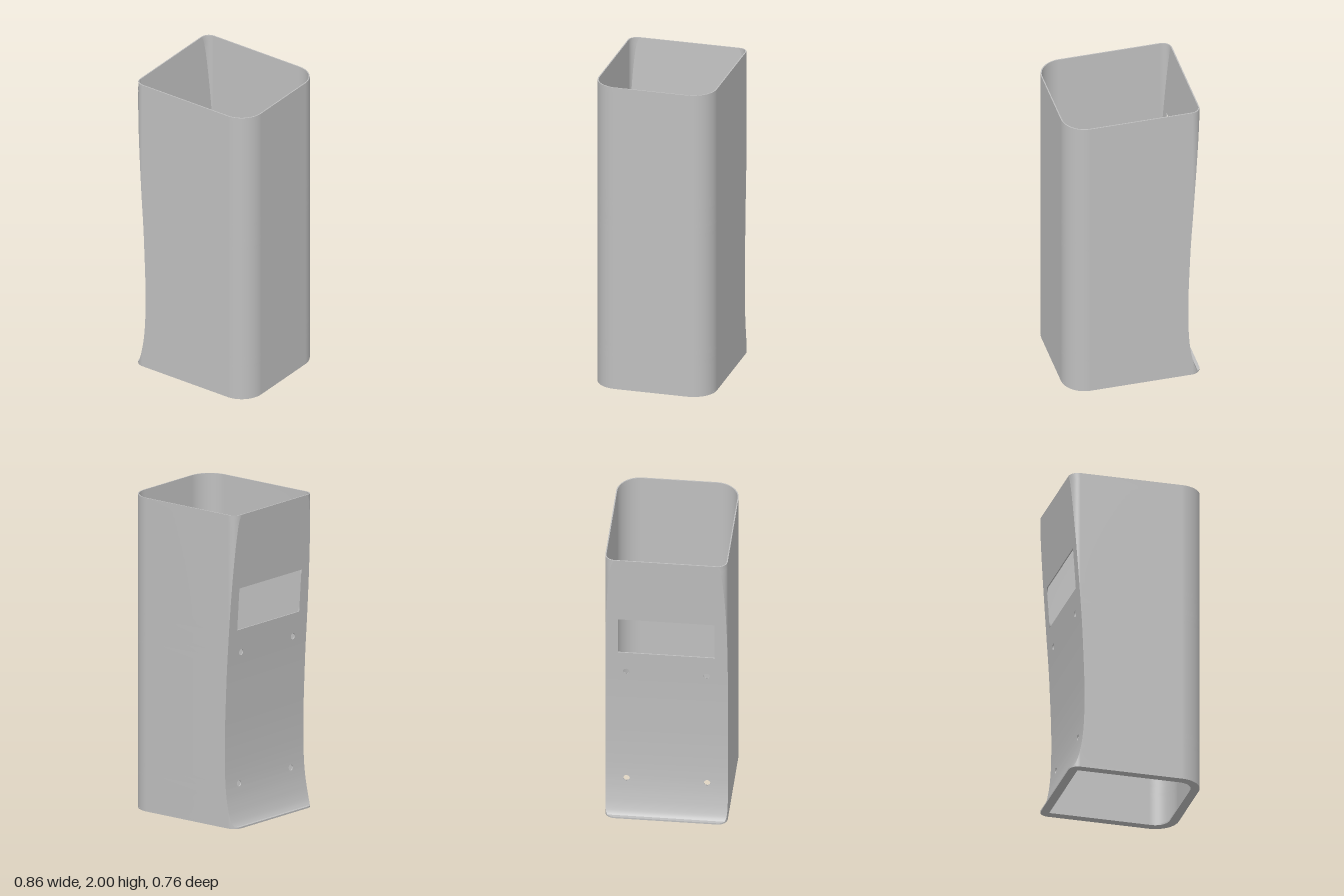
import * as THREE from 'three';
import { mergeVertices } from 'three/addons/utils/BufferGeometryUtils.js';

const HX = 0.43, HZ = 0.38, R_BIG = 0.15, R_SMALL = 0.06;
const WALL = 0.007, BASE = 0.01, TOP = 2;
const SLOT = { y0: 1.25, y1: 1.52, z: 0.3 };
const HOLE = { ys: [0.26, 1.1], z: 0.25, r: 0.02 };

// Concave back: x as a function of height
const profile = [
  [0.01, -0.41], [0.03, -0.398], [0.06, -0.387], [0.1, -0.376], [0.2, -0.358], [0.32, -0.348], [0.45, -0.345],
  [0.6, -0.346], [0.8, -0.353], [1.0, -0.362], [1.2, -0.375], [1.4, -0.388], [1.6, -0.402], [1.8, -0.416], [2, -0.43],
];
function backX(y) {
  let i = 0;
  while (i < profile.length - 2 && y > profile[i + 1][0]) i++;
  const at = (k) => profile[Math.min(Math.max(k, 0), profile.length - 1)];
  const [a, b] = [at(i), at(i + 1)], h = b[0] - a[0], t = (y - a[0]) / h;
  const slope = (k) => (at(k + 1)[1] - at(k - 1)[1]) / (at(k + 1)[0] - at(k - 1)[0]);
  const t2 = t * t, t3 = t2 * t;
  return (2 * t3 - 3 * t2 + 1) * a[1] + (t3 - 2 * t2 + t) * h * slope(i)
    + (3 * t2 - 2 * t3) * b[1] + (t3 - t2) * h * slope(i + 1);
}

// Heights of the cross-sections, with extra ones around the openings
const heights = [];
for (let i = 0; i <= 10; i++) heights.push(BASE + 0.19 * (i / 10) ** 1.6);
for (let y = 0.24; y < TOP - 0.01; y += 0.04) heights.push(y);
heights.push(TOP, SLOT.y0, SLOT.y1);
for (const hy of HOLE.ys) for (let i = 0; i <= 8; i++) heights.push(hy - HOLE.r * Math.cos((i / 8) * Math.PI));
heights.sort((a, b) => a - b);
const rowsY = heights.filter((y, i) => i === 0 || y - heights[i - 1] > 1e-5);

// Open cross-section, trimmed by the concave back
function section(y, inset) {
  const x0 = backX(y) + inset, r = R_SMALL - inset, R = R_BIG - inset;
  const cx = -HX + R_SMALL, cz = HZ - R_SMALL;
  const start = Math.acos(THREE.MathUtils.clamp((cx - x0) / r, 0, 1));
  const half = [];
  for (let i = 0; i <= 8; i++) {
    const a = start + (Math.PI / 2 - start) * (i / 8);
    half.push([Math.max(cx - r * Math.cos(a), x0), cz + r * Math.sin(a)]);
  }
  for (let i = 0; i <= 16; i++) {
    const a = (i / 16) * Math.PI / 2;
    half.push([HX - R_BIG + R * Math.sin(a), HZ - R_BIG + R * Math.cos(a)]);
  }
  return [...half, ...half.slice().reverse().map(([x, z]) => [x, -z])].map(([x, z]) => [x, y, z]);
}

// Geometry from a list of quads
function quads(list) {
  const pos = [];
  for (const [a, b, c, d] of list) pos.push(...a, ...b, ...c, ...a, ...c, ...d);
  const g = new THREE.BufferGeometry();
  g.setAttribute('position', new THREE.Float32BufferAttribute(pos, 3));
  const merged = mergeVertices(g, 1e-5);
  merged.computeVertexNormals();
  return merged;
}
function skin(rows, flip) {
  const list = [];
  for (let j = 0; j < rows.length - 1; j++) {
    for (let i = 0; i < rows[j].length - 1; i++) {
      const q = [rows[j][i], rows[j][i + 1], rows[j + 1][i + 1], rows[j + 1][i]];
      list.push(flip ? q.reverse() : q);
    }
  }
  return quads(list);
}

// Solid stretches of the back panel across one band, as z pairs at height y
function spans(y, inset, mid) {
  const w = section(y, inset)[0][2];
  if (mid > SLOT.y0 && mid < SLOT.y1) return [[-w, -SLOT.z], [SLOT.z, w]];
  const hy = HOLE.ys.find((h) => Math.abs(mid - h) < HOLE.r);
  if (hy === undefined) return [[-w, w]];
  const h = Math.sqrt(Math.max(0, HOLE.r ** 2 - (y - hy) ** 2));
  return [[-w, -HOLE.z - h], [-HOLE.z + h, HOLE.z - h], [HOLE.z + h, w]];
}
function eachBand(visit) {
  for (let j = 0; j < rowsY.length - 1; j++) visit(rowsY[j], rowsY[j + 1], (rowsY[j] + rowsY[j + 1]) / 2);
}
const onBack = (y, z, inset) => [backX(y) + inset, y, z];

function panel(inset, flip) {
  const list = [];
  eachBand((ya, yb, mid) => {
    const lo = spans(ya, inset, mid), hi = spans(yb, inset, mid);
    lo.forEach(([l, r], i) => {
      const q = [onBack(ya, l, inset), onBack(ya, r, inset), onBack(yb, hi[i][1], inset), onBack(yb, hi[i][0], inset)];
      list.push(flip ? q.reverse() : q);
    });
  });
  return quads(list);
}

// Cut edges through the panel thickness
function openingEdges() {
  const list = [];
  const edge = (ya, za, yb, zb) => list.push([onBack(ya, za, 0), onBack(ya, za, WALL), onBack(yb, zb, WALL), onBack(yb, zb, 0)]);
  eachBand((ya, yb, mid) => {
    const lo = spans(ya, 0, mid).flat().slice(1, -1), hi = spans(yb, 0, mid).flat().slice(1, -1);
    lo.forEach((z, i) => edge(ya, z, yb, hi[i]));
  });
  for (const y of [SLOT.y0, SLOT.y1]) edge(y, -SLOT.z, y, SLOT.z);
  return quads(list);
}

// Rounded outline of the base, in x and z
function outline(target, inset) {
  const x = HX - inset, z = HZ - inset, R = R_BIG - inset, r = Math.max(R_SMALL - inset, 0.005), q = Math.PI / 2;
  target.absarc(x - R, z - R, R, 0, q);
  target.absarc(-x + r, z - r, r, q, 2 * q);
  target.absarc(-x + r, -z + r, r, 2 * q, 3 * q);
  target.absarc(x - R, -z + R, R, 3 * q, 4 * q);
  target.closePath();
  return target;
}

export function createModel() {
  const group = new THREE.Group();
  group.name = 'hollowHousing';
  const grey = new THREE.MeshStandardMaterial({ color: 0xbfbfbf, side: THREE.DoubleSide });
  grey.name = 'grey';
  const add = (name, geometry) => {
    const mesh = new THREE.Mesh(geometry, grey);
    mesh.name = name;
    group.add(mesh);
    return mesh;
  };

  // Wrapped side walls, outside and inside
  add('outerWall', skin(rowsY.map((y) => section(y, 0)), true));
  add('innerWall', skin(rowsY.map((y) => section(y, WALL)), false));

  // Concave panel with slot and screw holes
  add('panelOutside', panel(0, false));
  add('panelInside', panel(WALL, true));
  add('openingEdges', openingEdges());

  // Thin rim along the top
  const close = (row) => [...row, row[0]];
  add('topRim', skin([close(section(TOP, 0)), close(section(TOP, WALL))], true));

  // Base flange with a large opening
  const base = outline(new THREE.Shape(), 0);
  base.holes.push(outline(new THREE.Path(), 0.056));
  const flange = new THREE.ExtrudeGeometry(base, { depth: BASE, bevelEnabled: false, curveSegments: 16 });
  flange.rotateX(Math.PI / 2).translate(0, BASE, 0);
  add('baseFlange', flange);

  return group;
}
